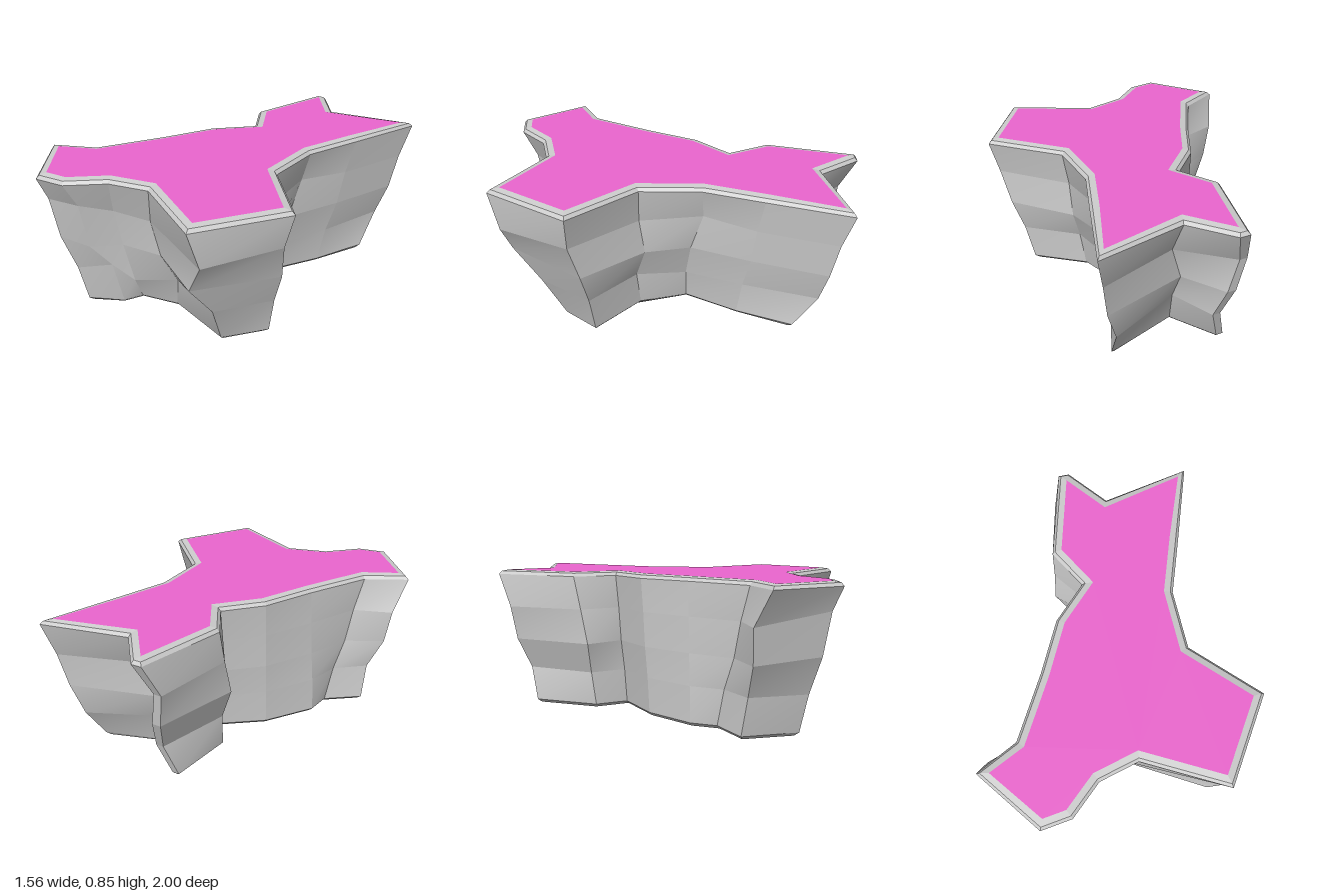
import * as THREE from 'three';

// Columns around the rock: [top x, top z, bottom x, bottom z, bottom y]
const columns = [
  [0.025, -1.0, -0.02, -0.77, 0.04],
  [0.205, -0.78, 0.13, -0.51, 0.035],
  [0.70, -0.885, 0.54, -0.635, 0.035],
  [0.555, -0.45, 0.41, -0.33, 0.03],
  [0.445, -0.13, 0.25, -0.04, 0.03],
  [0.45, 0.205, 0.33, 0.22, 0.03],
  [0.78, 0.54, 0.585, 0.45, 0.02],
  [0.49, 0.99, 0.41, 0.64, 0],
  [0.05, 0.76, 0.03, 0.55, 0.015],
  [-0.17, 0.82, -0.19, 0.60, 0.01],
  [-0.34, 0.975, -0.25, 0.69, 0],
  [-0.51, 1.0, -0.42, 0.80, 0.005],
  [-0.78, 0.65, -0.60, 0.50, 0.02],
  [-0.55, 0.53, -0.41, 0.36, 0.02],
  [-0.36, 0.19, -0.395, 0.21, 0.025],
  [-0.22, -0.095, -0.21, -0.05, 0.025],
  [-0.04, -0.28, 0.02, -0.23, 0.03],
  [-0.165, -0.50, -0.11, -0.39, 0.035],
  [-0.035, -1.0, -0.06, -0.77, 0.04],
];
// Chipped shifts of some columns at the three middle levels: [dx, dz, dy]
const chips = {
  0: [[-0.05, 0.02, 0], [0, 0, 0], [0.05, 0, 0]],
  1: [[0.03, 0.02, 0], [-0.02, -0.01, 0], [0, 0, 0]],
  2: [[0, -0.015, 0], [0, -0.03, 0], [-0.01, -0.07, 0]],
  4: [[0, -0.03, 0.02], [0, 0.02, 0], [0, 0.02, -0.02]],
  5: [[0, 0, 0], [0.02, -0.03, 0], [0, 0.02, 0]],
  6: [[0, 0.03, 0], [0, 0, 0], [0, 0, 0]],
  7: [[0.05, 0.04, -0.01], [-0.03, 0.08, 0.02], [0.02, 0.04, 0.01]],
  8: [[-0.045, 0, -0.02], [0, 0.02, -0.02], [0.045, 0, -0.02]],
  9: [[-0.035, 0, 0], [-0.02, 0, -0.02], [0.01, 0.02, -0.08]],
  10: [[-0.01, 0, 0.05], [-0.03, 0, -0.02], [0.01, 0, 0.03]],
  11: [[-0.01, 0, 0.06], [-0.015, 0, 0.02], [0, 0, -0.01]],
  12: [[0, -0.05, 0], [0, -0.02, 0], [0.03, 0, 0]],
  17: [[-0.02, 0.01, 0], [-0.045, 0.03, 0], [0, 0, 0]],
  18: [[-0.04, 0.02, 0], [0, 0, 0], [0.05, 0, 0]],
};
const levels = [[0.82, 0], [0.63, 0.27], [0.43, 0.47], [0.25, 0.78]];

// Moves every corner of a ring inward by d, limiting sharp corners
function inset(ring, d, yOf) {
  const n = ring.length;
  const normal = (a, b) => new THREE.Vector2(a.z - b.z, b.x - a.x).normalize();
  return ring.map((p, i) => {
    const n1 = normal(ring[(i + n - 1) % n], p);
    const n2 = normal(p, ring[(i + 1) % n]);
    const m = n1.clone().add(n2).normalize();
    const len = Math.min(d / Math.max(m.dot(n1), 0.1), d * 1.4);
    return new THREE.Vector3(p.x + m.x * len, yOf(i), p.z + m.y * len);
  });
}

function toGeometry(points, index) {
  const g = new THREE.BufferGeometry().setFromPoints(points);
  g.setIndex(index);
  g.computeVertexNormals();
  return g;
}

// Joins successive rings from top to bottom, one softly shaded panel per quad
function skin(rings) {
  const points = [], index = [];
  for (let k = 0; k < rings.length - 1; k++) {
    rings[k].forEach((a, i) => {
      const j = (i + 1) % rings[k].length;
      const s = points.length;
      points.push(a, rings[k][j], rings[k + 1][j], rings[k + 1][i]);
      index.push(s, s + 1, s + 2, s, s + 2, s + 3);
    });
  }
  return toGeometry(points, index);
}

// Fills a ring with triangles that face up or down
function cap(ring, up) {
  const flat = ring.map((p) => new THREE.Vector2(p.x, p.z));
  const index = [];
  for (const [i, j, k] of THREE.ShapeUtils.triangulateShape(flat, [])) {
    const a = ring[i], b = ring[j], c = ring[k];
    const ny = (b.z - a.z) * (c.x - a.x) - (b.x - a.x) * (c.z - a.z);
    index.push(...((ny > 0) === up ? [i, j, k] : [i, k, j]));
  }
  return toGeometry(ring, index);
}

export function createModel() {
  const group = new THREE.Group();
  group.name = 'rockPlatform';
  const add = (name, geometry, color = 0xcccccc) => {
    const mesh = new THREE.Mesh(geometry, new THREE.MeshStandardMaterial({ color }));
    mesh.name = name;
    group.add(mesh);
  };

  // Wall rings, tapering to the base
  const walls = levels.map(([y, t], k) => columns.map(([tx, tz, bx, bz], i) => {
    const [dx, dz, dy] = (k > 0 && chips[i]) ? chips[i][k - 1] : [0, 0, 0];
    return new THREE.Vector3(tx + (bx - tx) * t + dx, y + dy, tz + (bz - tz) * t + dz);
  }));
  const foot = columns.map((c) => new THREE.Vector3(c[2], c[4] + 0.02, c[3]));

  // Bevelled rim and base edge
  const rimMid = inset(walls[0], 0.015, () => 0.838);
  const rimInner = inset(walls[0], 0.05, () => 0.845);
  const base = inset(foot, 0.02, (i) => columns[i][4]);

  add('rockWall', skin([...walls, foot]));
  add('rim', skin([rimInner, rimMid, walls[0]]));
  add('baseEdge', skin([foot, base]));
  add('underside', cap(base, false));
  add('topSurface', cap(rimInner, true), 0xec66cf);
  return group;
}
